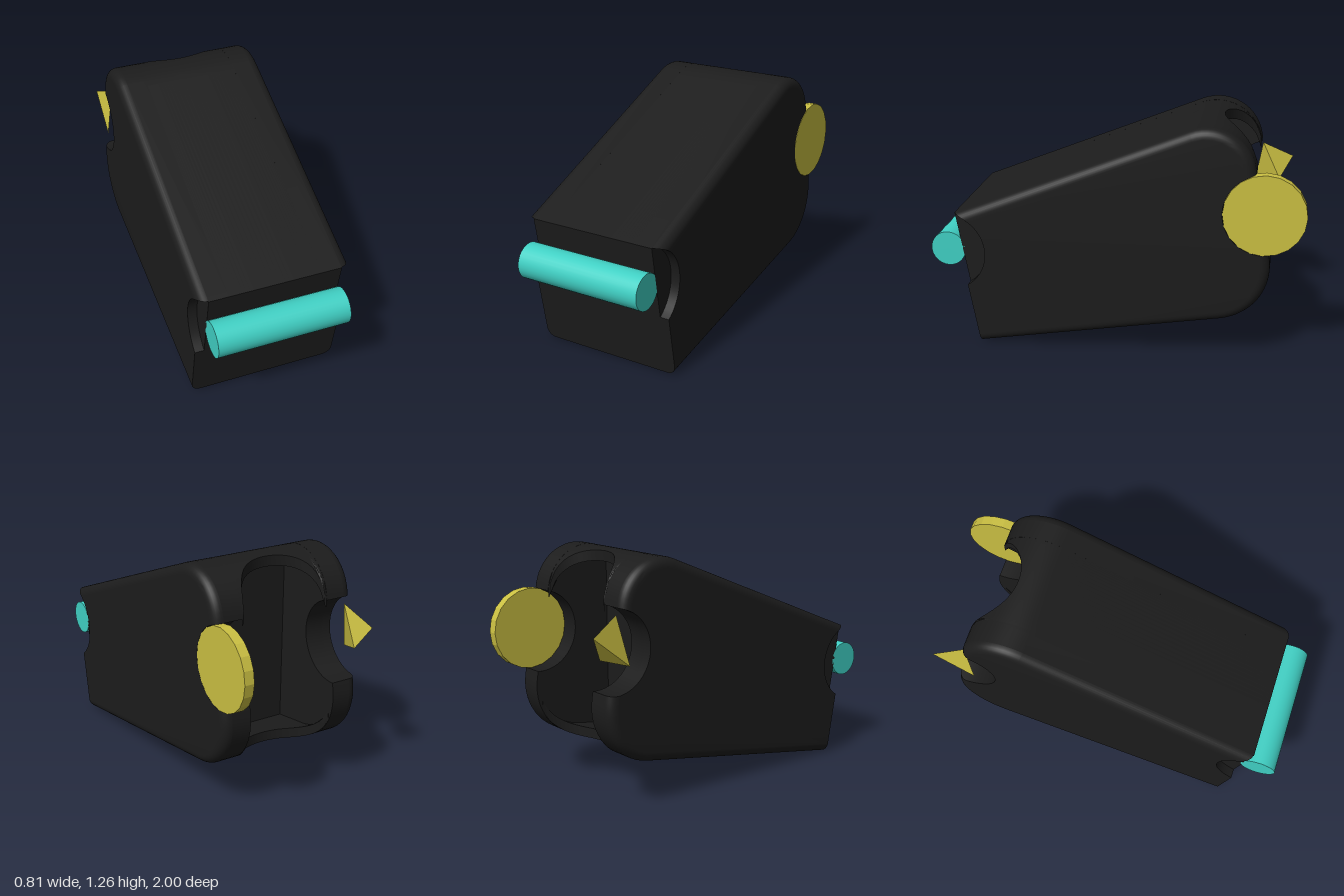
import * as THREE from 'three';
import { toCreasedNormals } from 'three/addons/utils/BufferGeometryUtils.js';
import { ConvexGeometry } from 'three/addons/geometries/ConvexGeometry.js';

// Side profile lives in a (u, y) plane with u = -z, so the front is at low u.
const V = (u, y) => new THREE.Vector2(u, y);
const QUAD = [V(-0.73, 0), V(0.87, 0.28), V(0.678, 1.358), V(-0.86, 0.735)];
const NOTCH = V(0.785, 0.825), POCKET = V(-0.905, 0.525);
const NOTCH_R = 0.215, POCKET_R = 0.217;
const SLOT_R = 0.247, WALL_IN = 0.25, WALL_OUT = 0.355, ROUND = 0.05;

const dirOf = (a, b) => b.clone().sub(a).normalize();
const leftOf = d => V(-d.y, d.x);

// Points on a circle from p to q, turning ccw (+1) or cw (-1)
function arc(c, p, q, turn, n) {
  const r = p.distanceTo(c);
  const a0 = Math.atan2(p.y - c.y, p.x - c.x);
  let a1 = Math.atan2(q.y - c.y, q.x - c.x);
  if ((a1 - a0) * turn < 0) a1 += turn * 2 * Math.PI;
  return Array.from({ length: n + 1 }, (_, i) => {
    const a = a0 + (a1 - a0) * i / n;
    return V(c.x + r * Math.cos(a), c.y + r * Math.sin(a));
  });
}

// Where the line a-b enters (-1) or leaves (+1) a circle
function hit(a, b, c, r, sign) {
  const d = dirOf(a, b), rel = c.clone().sub(a);
  const t = rel.dot(d) + sign * Math.sqrt(r * r - rel.cross(d) ** 2);
  return a.clone().addScaledVector(d, t);
}

// Rounded corner at b between edges a-b and b-c
function fillet(a, b, c, r) {
  const d0 = dirOf(a, b), d1 = dirOf(b, c);
  const t = r * Math.tan(Math.acos(d0.dot(d1)) / 2);
  const p = b.clone().addScaledVector(d0, -t), q = b.clone().addScaledVector(d1, t);
  return arc(p.clone().addScaledVector(leftOf(d0), r), p, q, 1, 14);
}

// Quad with bottom, rear and top edges moved inwards by d
function insetQuad(d) {
  const lines = QUAD.map((p, i) => {
    const dir = dirOf(p, QUAD[(i + 1) % 4]);
    return { p: p.clone().addScaledVector(leftOf(dir), i < 3 ? d : 0), dir };
  });
  return lines.map((l, i) => {
    const m = lines[(i + 3) % 4];
    const t = m.p.clone().sub(l.p).cross(m.dir) / l.dir.cross(m.dir);
    return l.p.clone().addScaledVector(l.dir, t);
  });
}

// Side outline with the rear wheel notch and optionally the front pocket
function outline(d, pocket) {
  const [fb, rb, rt, ft] = insetQuad(d);
  const front = pocket
    ? arc(POCKET, hit(rt, ft, POCKET, POCKET_R, -1), hit(ft, fb, POCKET, POCKET_R, 1), -1, 20)
    : [ft];
  return [
    fb,
    ...fillet(fb, rb, rt, 0.3 - d),
    ...arc(NOTCH, hit(rb, rt, NOTCH, NOTCH_R, -1), hit(rb, rt, NOTCH, NOTCH_R, 1), -1, 28),
    ...fillet(rb, rt, ft, 0.25 - d),
    ...front,
  ];
}

// Skin a list of { x, pts } sections, x increasing
function loft(rings, capped) {
  const pos = [];
  const put = (r, j) => { const p = r.pts[j % r.pts.length]; pos.push(r.x, p.y, -p.x); };
  for (let k = 0; k + 1 < rings.length; k++) {
    const A = rings[k], B = rings[k + 1];
    for (let j = 0; j < A.pts.length; j++) {
      put(A, j); put(A, j + 1); put(B, j + 1);
      put(A, j); put(B, j + 1); put(B, j);
    }
  }
  if (capped) {
    const first = rings[0], last = rings[rings.length - 1];
    for (const [a, b, c] of THREE.ShapeUtils.triangulateShape(first.pts, [])) {
      put(first, a); put(first, c); put(first, b);
    }
    for (const [a, b, c] of THREE.ShapeUtils.triangulateShape(last.pts, [])) {
      put(last, a); put(last, b); put(last, c);
    }
  }
  const g = new THREE.BufferGeometry();
  g.setAttribute('position', new THREE.Float32BufferAttribute(pos, 3));
  return toCreasedNormals(g, 0.6);
}

// Heights of the body's underside and top
const yBottom = u => u < 0.575 ? 0.175 * (u + 0.73) : 0.523 - Math.sqrt(0.09 - (u - 0.521) ** 2);
const yTop = u => u < 0.392 ? 0.735 + 0.405 * (u + 0.86) : 1.01 + Math.sqrt(0.0625 - (u - 0.486) ** 2);

// Middle section at x: solid front, hollow rear, plates cut by a round slot
function coreSection(x) {
  const end = 0.79 - Math.sqrt(Math.max(0, SLOT_R ** 2 - x * x));
  const run = (f, last, back) => {
    const pts = Array.from({ length: 13 }, (_, i) => {
      const u = 0.36 + (last - 0.36) * i / 12;
      return V(u, f(u));
    });
    return back ? pts.reverse() : pts;
  };
  const endTop = Math.min(end, 0.732), t = 0.055;
  return [
    QUAD[0].clone(),
    ...run(yBottom, end, false),
    ...run(u => yBottom(u) + t, end, true),
    ...run(u => yTop(u) - t, endTop, false),
    ...run(yTop, endTop, true),
    QUAD[3].clone(),
  ];
}

export function createModel() {
  const model = new THREE.Group();
  const mat = color => new THREE.MeshStandardMaterial({ color });
  const dark = mat(0x1c1c1c), gold = mat(0xcabf42), teal = mat(0x40d0c4);
  const add = (name, geo, material, parent = model) => {
    const m = new THREE.Mesh(geo, material);
    m.name = name;
    parent.add(m);
    return m;
  };

  const body = new THREE.Group();
  body.name = 'body';
  model.add(body);

  // Slotted core
  const core = Array.from({ length: 33 }, (_, i) => {
    const x = -WALL_IN * Math.cos(Math.PI * i / 32);
    return { x, pts: coreSection(x) };
  });
  add('core', loft(core, false), dark, body);

  // Side walls and their rounded outer layers, mirrored
  for (const s of [1, -1]) {
    const side = s > 0 ? 'left' : 'right';
    const order = rings => (s > 0 ? rings : rings.reverse());
    const wall = [WALL_IN, WALL_OUT].map(x => ({ x: s * x, pts: outline(0, false) }));
    add(side + 'Wall', loft(order(wall), true), dark, body);
    const shell = Array.from({ length: 8 }, (_, i) => {
      const a = Math.PI / 2 * i / 7;
      return {
        x: s * (WALL_OUT + ROUND * Math.sin(a)),
        pts: outline(ROUND * (1 - Math.cos(a)), true),
      };
    });
    add(side + 'OuterShell', loft(order(shell), true), dark, body);
  }

  // Front roller
  const roller = new THREE.CylinderGeometry(0.095, 0.095, 0.71, 32).rotateZ(Math.PI / 2);
  add('frontRoller', roller, teal).position.set(0, 0.525, 0.905);

  // Disc on the left side
  const disc = toCreasedNormals(
    new THREE.CylinderGeometry(NOTCH_R, NOTCH_R, 0.053, 20).rotateZ(Math.PI / 2), 0.2);
  add('sideDisc', disc, gold).position.set(0.379, 0.825, -0.785);

  // Flattened tetrahedron on the right side
  add('sideTetrahedron', new ConvexGeometry([
    new THREE.Vector3(-0.405, 0.915, -0.91),
    new THREE.Vector3(-0.355, 1.0, -0.74),
    new THREE.Vector3(-0.405, 0.748, -0.697),
    new THREE.Vector3(-0.355, 0.79, -0.84),
  ]), gold);

  return model;
}
